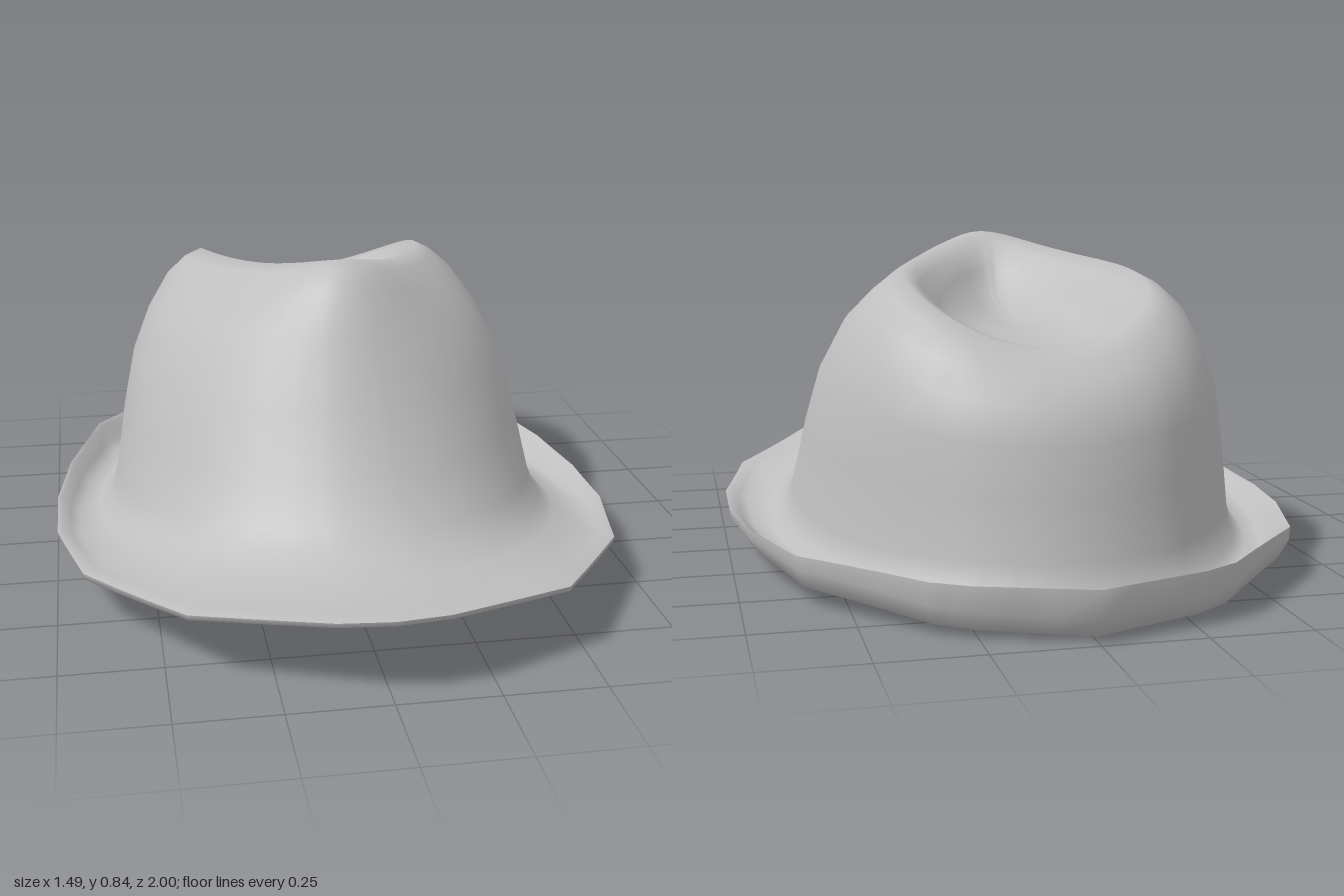
import * as THREE from 'three';
import { toCreasedNormals } from 'three/addons/utils/BufferGeometryUtils.js';

// Half outline of the faceted brim edge, front to back: [x, z]
const OUTLINE = [
  [0, 1], [0.13, 0.98], [0.45, 0.84], [0.68, 0.5], [0.745, 0.2], [0.745, -0.04],
  [0.71, -0.28], [0.62, -0.58], [0.36, -0.87], [0.27, -0.92], [0, -1],
];
const SUB = 3;
const HALF = (OUTLINE.length - 1) * SUB;
const SEGMENTS = HALF * 2;

// Crown sections from foot to ridge: half width, front z, back z, heights, pinch
const WALL = [
  [0.577, 0.655, -0.818, [0.28, 0.17, 0.14]],
  [0.548, 0.575, -0.797, [0.37, 0.34, 0.28], 0.05],
  [0.513, 0.485, -0.777, [0.52, 0.49, 0.4], 0.12],
  [0.458, 0.395, -0.752, [0.68, 0.61, 0.49], 0.26],
  [0.39, 0.335, -0.7, [0.79, 0.72, 0.7, 0.65, 0.54], 0.42],
  [0.335, 0.29, -0.66, [0.828, 0.77, 0.745, 0.7, 0.575], 0.5],
  [0.29, 0.24, -0.61, [0.84, 0.79, 0.768, 0.725, 0.605], 0.54],
];
// Sections of the dent from ridge to floor
const DENT = [
  [0.25, 0.18, -0.57, [0.82, 0.76, 0.74, 0.705, 0.605], 0.57],
  [0.208, 0.12, -0.53, [0.74, 0.675, 0.595], 0.56],
  [0.165, 0.07, -0.47, [0.67, 0.635, 0.58], 0.5],
  [0.08, -0.06, -0.34, [0.625, 0.615, 0.59], 0.3],
  [0, -0.2, -0.2, [0.61, 0.61, 0.61]],
];

// Point on the straight-sided brim outline for step j around the hat
function outlinePoint(j) {
  const i = j <= HALF ? j : SEGMENTS - j;
  const k = Math.min(Math.floor(i / SUB), OUTLINE.length - 2);
  const t = i / SUB - k;
  const [x0, z0] = OUTLINE[k];
  const [x1, z1] = OUTLINE[k + 1];
  return [(x0 + (x1 - x0) * t) * (j <= HALF ? 1 : -1), z0 + (z1 - z0) * t];
}

// Smooth height through values spaced evenly from front (c = 1) to back (c = -1)
function heightAt(heights, c) {
  const node = (i) => 1 - 2 * i / (heights.length - 1);
  return heights.reduce((sum, h, i) => {
    heights.forEach((_, k) => {
      if (k !== i) h *= (c - node(k)) / (node(i) - node(k));
    });
    return sum + h;
  }, 0);
}

// Ring following the brim outline
function edgeRing(scale, heights) {
  return (j) => {
    const [x, z] = outlinePoint(j);
    return [x * scale, heightAt(heights, z), z * scale];
  };
}

// Tilted oval ring; pinch narrows its front into a teardrop
function ovalRing([halfWidth, zFront, zBack, heights, pinch = 0]) {
  return (j) => {
    const [ox, oz] = outlinePoint(j);
    const angle = Math.atan2(ox / 0.745, oz);
    const c = Math.cos(angle);
    const narrow = (1 - pinch * (1 + c) / 2) / (1 - pinch / 2);
    return [
      halfWidth * Math.sin(angle) * narrow,
      heightAt(heights, c),
      (zFront + zBack) / 2 + c * (zFront - zBack) / 2,
    ];
  };
}

// Grow or shrink a section sideways and lower it, for the inner face of the felt
function inner([halfWidth, zFront, zBack, heights, pinch], grow, drop) {
  const g = halfWidth > 0 ? grow : 0;
  return [halfWidth + g, zFront + g, zBack - g, heights.map((h) => h - drop), pinch];
}

// Skin a list of rings, running from outside to inside on upward surfaces
function loft(rings, crease) {
  const position = [];
  const index = [];
  rings.forEach((ring) => {
    for (let j = 0; j < SEGMENTS; j++) position.push(...ring(j));
  });
  for (let r = 0; r < rings.length - 1; r++) {
    for (let j = 0; j < SEGMENTS; j++) {
      const n = (j + 1) % SEGMENTS;
      const a = r * SEGMENTS + j, b = r * SEGMENTS + n;
      const c = a + SEGMENTS, d = b + SEGMENTS;
      index.push(a, b, d, a, d, c);
    }
  }
  const geometry = new THREE.BufferGeometry();
  geometry.setAttribute('position', new THREE.Float32BufferAttribute(position, 3));
  geometry.setIndex(index);
  return toCreasedNormals(geometry, crease);
}

// Cut some bands out of a loft, keeping the shading continuous across the cut
function bands(geometry, from, to) {
  const perBand = SEGMENTS * 6 * 3;
  const part = new THREE.BufferGeometry();
  for (const key of ['position', 'normal']) {
    const values = geometry.getAttribute(key).array.slice(from * perBand, to * perBand);
    part.setAttribute(key, new THREE.BufferAttribute(values, 3));
  }
  return part;
}

export function createModel() {
  const felt = new THREE.MeshStandardMaterial({ color: 0xbfbfbf, side: THREE.DoubleSide });
  felt.name = 'grey felt';

  // Inside of the crown, from the dent down to the wall
  const liningRings = [
    ...WALL.map((s) => inner(s, -0.02, 0.012)),
    ...DENT.map((s) => inner(s, 0.01, 0.015)),
  ].reverse().map(ovalRing);

  // Underside from the head opening, rolled edge, then the top of the brim
  const brimRings = [
    ovalRing([0.543, 0.625, -0.78, [0.215, 0.11, 0.08]]),
    edgeRing(0.91, [0.18, 0.11, 0.05, 0.037, 0.004]),
    edgeRing(0.965, [0.19, 0.116, 0.072, 0.052, 0.014]),
    edgeRing(0.997, [0.2, 0.124, 0.1, 0.1, 0.06]),
    edgeRing(1, [0.212, 0.14, 0.119, 0.13, 0.13]),
    edgeRing(0.985, [0.213, 0.142, 0.117, 0.122, 0.11]),
    edgeRing(0.955, [0.212, 0.138, 0.098, 0.083, 0.038]),
    edgeRing(0.92, [0.208, 0.135, 0.082, 0.064, 0.023]),
    ovalRing([0.63, 0.8, -0.88, [0.21, 0.143, 0.086, 0.063, 0.033]]),
    ovalRing([0.597, 0.72, -0.84, [0.238, 0.165, 0.11, 0.08, 0.06]]),
  ];

  // Walls rising to a teardrop ridge, then the dent in the top
  const crownRings = [...WALL, ...DENT].map(ovalRing);

  const shell = loft([...liningRings, ...brimRings, ...crownRings], 1.3);
  const hat = new THREE.Group();
  hat.name = 'hat';

  const brimStart = liningRings.length;
  const crownStart = brimStart + brimRings.length;
  const crownEnd = crownStart + crownRings.length - 1;
  for (const [name, from, to] of [
    ['lining', 0, brimStart],
    ['brim', brimStart, crownStart],
    ['crown', crownStart, crownEnd],
  ]) {
    const mesh = new THREE.Mesh(bands(shell, from, to), felt);
    mesh.name = name;
    hat.add(mesh);
  }
  return hat;
}
